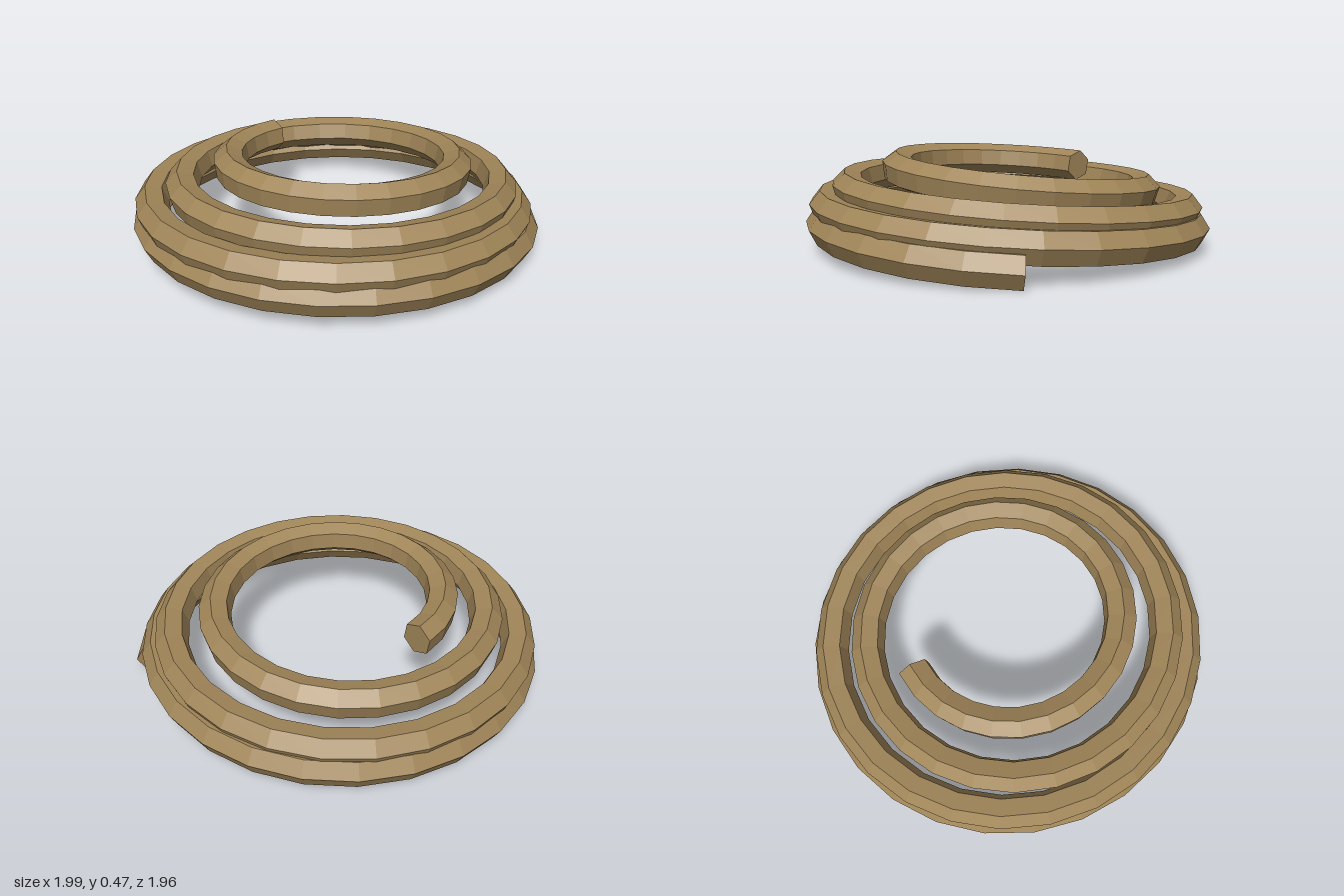
import * as THREE from 'three';

const SIDES = 6;
const SEGMENTS = 96;
const TUBE_RADIUS = 0.08;
const END_ANGLE = THREE.MathUtils.degToRad(1313);

// Coil radius at every quarter turn, from the bottom end to the top end
const RADII = [0.93, 0.905, 0.905, 0.905, 0.89, 0.89, 0.89, 0.875,
  0.82, 0.78, 0.735, 0.677, 0.603, 0.543, 0.51, 0.495];
const radiusCurve = new THREE.SplineCurve(RADII.map((r, i) => new THREE.Vector2(i, r)));

// Rising, slightly tilted spiral, sampled by equal angles
class CoilCurve extends THREE.Curve {
  getPoint(t, target = new THREE.Vector3()) {
    const a = t * END_ANGLE;
    const r = radiusCurve.getPoint(a / (Math.PI / 2) / (RADII.length - 1)).y;
    const y = 0.07 + 0.085 * a / (Math.PI * 2) + 0.04 * Math.sin(a);
    return target.set(r * Math.cos(a) - 0.015, y, r * Math.sin(a));
  }
  getUtoTmapping(u) {
    return u;
  }
}

// Flat hexagonal cap made from one ring of the tube
function capGeometry(tube, ring, reversed) {
  const pos = tube.attributes.position;
  const points = [];
  for (let j = 0; j < SIDES; j++) {
    points.push(new THREE.Vector3().fromBufferAttribute(pos, ring * (SIDES + 1) + j));
  }
  if (reversed) points.reverse();
  const index = [];
  for (let j = 1; j < SIDES - 1; j++) index.push(0, j, j + 1);
  const geometry = new THREE.BufferGeometry().setFromPoints(points);
  geometry.setIndex(index);
  geometry.computeVertexNormals();
  return geometry;
}

export function createModel() {
  const group = new THREE.Group();
  group.name = 'coil';
  const bronze = new THREE.MeshStandardMaterial({ color: 0xa08558, flatShading: true });
  bronze.name = 'bronze';

  const add = (name, geometry) => {
    const mesh = new THREE.Mesh(geometry, bronze);
    mesh.name = name;
    group.add(mesh);
  };

  const tube = new THREE.TubeGeometry(new CoilCurve(), SEGMENTS, TUBE_RADIUS, SIDES, false);
  add('coilTube', tube);
  add('bottomEndCap', capGeometry(tube, 0, false));
  add('topEndCap', capGeometry(tube, SEGMENTS, true));
  return group;
}
